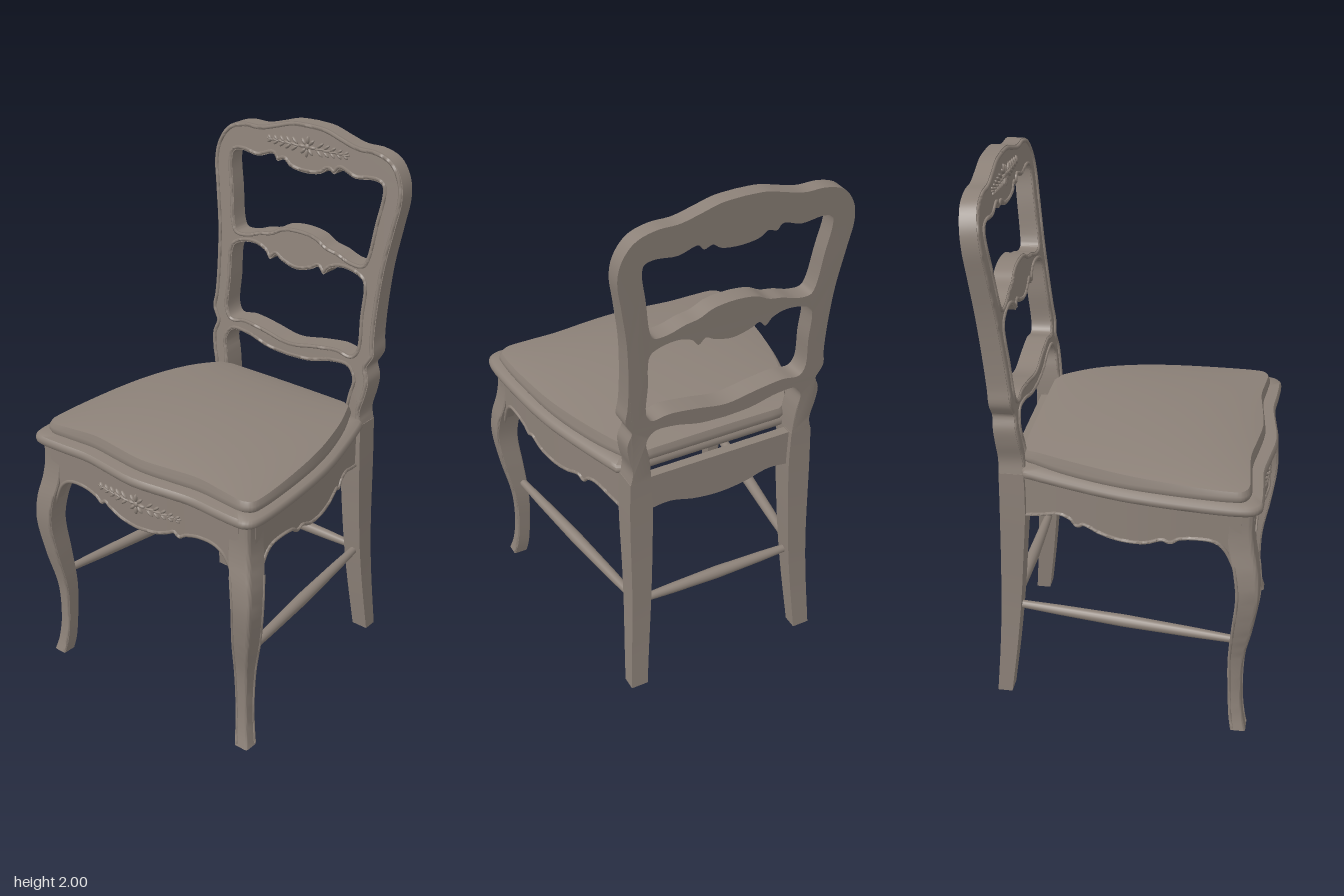
import * as THREE from 'three';
import { toCreasedNormals } from 'three/addons/utils/BufferGeometryUtils.js';

const V3 = (x, y, z) => new THREE.Vector3(x, y, z);
const lerp = THREE.MathUtils.lerp;

// Smooth function through [position, value] pairs (position ascending)
function smooth(t) {
  const slope = i => {
    const a = t[Math.max(i - 1, 0)], b = t[Math.min(i + 1, t.length - 1)];
    return (b[1] - a[1]) / (b[0] - a[0]);
  };
  return p => {
    let i = 0;
    while (i < t.length - 2 && p > t[i + 1][0]) i++;
    const h = t[i + 1][0] - t[i][0], s = Math.min(Math.max((p - t[i][0]) / h, 0), 1);
    const s2 = s * s, s3 = s2 * s;
    return (2 * s3 - 3 * s2 + 1) * t[i][1] + (s3 - 2 * s2 + s) * h * slope(i)
      + (3 * s2 - 2 * s3) * t[i + 1][1] + (s3 - s2) * h * slope(i + 1);
  };
}

// Dense [x, y] points along a curve through the given ones
const sample = (pts, n, closed = false) =>
  new THREE.CatmullRomCurve3(pts.map(p => V3(p[0], p[1], 0)), closed, 'centripetal')
    .getPoints(n).map(p => [p.x, p.y]).slice(0, closed ? -1 : undefined);

// Adds the mirrored half of a right-hand list
const mirror = pts => [...pts, ...pts.filter(p => p[0] > 0.001).reverse().map(p => [-p[0], p[1]])];

const toPoints = pts => pts.map(p => new THREE.Vector2(p[0], p[1]));

// Moves each vertex by a rule, then sets normals with sharp edges
function remap(geo, rule, crease = 0.6) {
  const p = geo.attributes.position;
  for (let i = 0; i < p.count; i++) p.setXYZ(i, ...rule(p.getX(i), p.getY(i), p.getZ(i)));
  return toCreasedNormals(geo, crease);
}

// Mirrors a non-indexed geometry in x and keeps its faces outward
function flipX(geo) {
  const g = geo.clone();
  for (const name of ['position', 'normal']) {
    const a = g.attributes[name], old = a.clone();
    for (let i = 0; i < a.count; i++) {
      const j = i % 3 === 0 ? i : i % 3 === 1 ? i + 1 : i - 1;
      a.setXYZ(i, -old.getX(j), old.getY(j), old.getZ(j));
    }
  }
  return g;
}

// Closed skin through rings of equal length, running upwards, capped at both ends
function loft(rings) {
  const n = rings[0].length, pos = rings.flat(2), idx = [];
  for (let r = 0; r < rings.length - 1; r++)
    for (let i = 0; i < n; i++) {
      const a = r * n + i, b = r * n + (i + 1) % n;
      idx.push(a, b, b + n, a, b + n, a + n);
    }
  [0, rings.length - 1].forEach((r, top) => {
    const c = pos.length / 3, ring = rings[r];
    pos.push(0, ring[0][1], 0.06);
    for (let i = 0; i < n; i++) {
      const a = r * n + i, b = r * n + (i + 1) % n;
      idx.push(c, ...(top ? [a, b] : [b, a]));
    }
  });
  const g = new THREE.BufferGeometry();
  g.setAttribute('position', new THREE.Float32BufferAttribute(pos, 3));
  g.setIndex(idx);
  return toCreasedNormals(g, 0.8);
}

// Seat plan [x, z], from the front centre round the side to the back, as a full loop
function plan(half) {
  const side = sample(half, 64), [bx, bz] = side[side.length - 1];
  const back = [];
  for (let i = 1; i <= 8; i++) back.push([bx * (1 - i / 8), bz - .022]);
  return mirror([...side, ...back]);
}
const planRing = (loop, s, height) => loop.map(([px, pz]) => {
  const x = px * s, z = 0.06 + (pz - 0.06) * s;
  return [x, height(x, z), z];
});

export function createModel() {
  const model = new THREE.Group();
  const wood = new THREE.MeshStandardMaterial({ color: 0x8c8178 });
  wood.name = 'greyed wood';
  const add = (name, geo) => {
    const m = new THREE.Mesh(geo, wood);
    m.name = name;
    model.add(m);
    return m;
  };
  const pair = (name, geo) => { add(name + 'Left', geo); add(name + 'Right', flipX(geo)); };
  const bead = (pts, r, closed = false) => toCreasedNormals(new THREE.TubeGeometry(
    new THREE.CatmullRomCurve3(pts, closed), pts.length * 2, r, 6, closed), 1.2);

  // Lean of the back posts: front and rear z for each height
  const zFront = smooth([[0, -.42], [.2, -.395], [.4, -.375], [.6, -.36], [.78, -.348], [.95, -.35], [1.18, -.376], [1.5, -.412], [2, -.47]]);
  const zBack = smooth([[0, -.475], [.2, -.46], [.4, -.45], [.78, -.44], [1, -.44], [1.18, -.452], [1.5, -.48], [2, -.525]]);

  // Back frame with shaped openings
  const outerHalf = sample([[0, 2], [.08, 1.995], [.15, 1.975], [.22, 1.957], [.3, 1.955], [.37, 1.93], [.413, 1.87], [.425, 1.8], [.41, 1.7],
    [.386, 1.55], [.376, 1.4], [.376, 1.28], [.382, 1.22], [.365, 1.185], [.357, 1.17], [.372, 1.12], [.366, 1.06], [.35, .99], [.36, .93]], 70);
  const archHalf = sample([[.28, .93], [.285, 1], [.292, 1.05], [.302, 1.11], [.275, 1.15], [.2, 1.15], [.1, 1.125], [0, 1.118]], 30);
  const topHole = sample(mirror([[0, 1.82], [.07, 1.83], [.1, 1.85], [.13, 1.84], [.15, 1.862], [.22, 1.842], [.3, 1.85], [.335, 1.84], [.342, 1.81],
    [.325, 1.7], [.305, 1.57], [.29, 1.545], [.24, 1.545], [.18, 1.565], [.13, 1.575], [.08, 1.6], [0, 1.61]]), 140, true);
  const midHole = sample(mirror([[0, 1.458], [.07, 1.475], [.1, 1.49], [.125, 1.468], [.15, 1.495], [.2, 1.512], [.27, 1.502], [.302, 1.48],
    [.305, 1.35], [.306, 1.23], [.285, 1.2], [.22, 1.207], [.12, 1.195], [0, 1.175]]), 120, true);
  const frame = new THREE.Shape(toPoints(mirror([...outerHalf, ...archHalf])));
  for (const hole of [topHole, midHole]) frame.holes.push(new THREE.Path(toPoints([...hole].reverse())));
  add('backFrame', remap(new THREE.ExtrudeGeometry(frame, { depth: 1, bevelEnabled: false }),
    (x, y, t) => [x, y, lerp(zBack(y), zFront(y), t)]));

  // Beading just inside the edges of the back frame
  const beadPath = (pts, d, closed) => pts.map((p, i) => {
    const n = pts.length;
    const a = closed ? pts[(i + n - 1) % n] : pts[Math.max(i - 1, 0)];
    const b = closed ? pts[(i + 1) % n] : pts[Math.min(i + 1, n - 1)];
    const dx = b[0] - a[0], dy = b[1] - a[1], l = Math.hypot(dx, dy);
    const y = p[1] - dx / l * d;
    return V3(p[0] + dy / l * d, y, zFront(y));
  });
  const outerLine = [...outerHalf.slice(1).reverse().map(p => [-p[0], p[1]]), ...outerHalf];
  const archLine = [...archHalf, ...archHalf.slice(0, -1).reverse().map(p => [-p[0], p[1]])];
  add('outerBead', bead(beadPath(outerLine, .01, false), .008));
  add('archBead', bead(beadPath(archLine, .008, false), .007));
  add('topOpeningBead', bead(beadPath(topHole, -.009, true), .007, true));
  add('middleOpeningBead', bead(beadPath(midHole, -.009, true), .007, true));

  // Back legs, swept to the rear
  const legIn = smooth([[0, .32], [.4, .29], [.78, .276], [.94, .28]]);
  const legOut = smooth([[0, .386], [.4, .366], [.78, .364], [.94, .36]]);
  pair('backLeg', remap(new THREE.BoxGeometry(1, .94, 1, 1, 24, 1), (x, y, z) => {
    const h = y + .47;
    return [lerp(legIn(h), legOut(h), x + .5), h, lerp(zBack(h), zFront(h), z + .5)];
  }));

  // Curved front legs, beaded along the inner edges
  const outer = smooth([[0, .488], [.05, .476], [.15, .466], [.3, .47], [.45, .498], [.6, .518], [.7, .512], [.78, .495], [.85, .486], [.935, .485]]);
  const inner = smooth([[0, .433], [.05, .424], [.15, .417], [.3, .413], [.45, .423], [.6, .435], [.7, .424], [.78, .405], [.85, .4], [.935, .4]]);
  const section = new THREE.Shape().moveTo(-.9, -1).lineTo(.6, -1).quadraticCurveTo(1, -1, 1, -.6)
    .lineTo(1, .9).lineTo(.9, 1).lineTo(-.9, 1).lineTo(-1, .9).lineTo(-1, -.9).closePath();
  pair('frontLeg', remap(new THREE.ExtrudeGeometry(section, { depth: .935, steps: 36, bevelEnabled: false, curveSegments: 6 }), (a, b, h) => {
    const c = (outer(h) + inner(h)) / 2, r = (outer(h) - inner(h)) / 2;
    return [c + a * r, h, c - .011 - b * r];
  }, 0.7));
  const heights = Array.from({ length: 25 }, (_, i) => .006 + i * .03);
  pair('legFrontBead', bead(heights.map(h => V3(inner(h) + .007, h, outer(h) - .013)), .006));
  pair('legSideBead', bead(heights.map(h => V3(outer(h) - .002, h, inner(h) - .004)), .006));

  // Aprons: a scalloped panel hanging from y = 0.935, bent by a rule
  const panel = (points, rule) => {
    const low = smooth(points), u0 = points[0][0], u1 = points[points.length - 1][0];
    const geo = remap(new THREE.BoxGeometry(1, 1, .035, 96, 4, 1), (x, y, z) => {
      const u = lerp(u0, u1, x + .5);
      return rule(u, lerp(low(u), .935, y + .5), z + .0175);
    });
    const edge = Array.from({ length: 81 }, (_, i) => lerp(u0, u1, i / 80));
    return { geo, edge: w => bead(edge.map(u => V3(...rule(u, low(u) + .006, w))), .007) };
  };
  const frontZ = smooth([[0, .496], [.12, .487], [.25, .474], [.36, .475], [.48, .474]]);
  const frontHalf = [[0, .752], [.08, .758], [.14, .778], [.165, .79], [.185, .775], [.21, .79], [.28, .805], [.35, .8], [.395, .765], [.425, .7], [.445, .64]];
  const frontPanel = panel([...frontHalf.slice(1).reverse().map(p => [-p[0], p[1]]), ...frontHalf],
    (u, y, w) => [u, y, frontZ(Math.abs(u)) - .035 + w]);
  add('frontApron', frontPanel.geo);
  add('frontApronBead', frontPanel.edge(.035));

  const sideX = smooth([[-.36, .34], [-.2, .393], [0, .446], [.2, .476], [.45, .487]]);
  const sidePanel = panel([[-.36, .758], [-.29, .78], [-.22, .803], [-.175, .795], [-.15, .772], [-.125, .785], [-.06, .765], [.02, .755],
    [.1, .762], [.16, .785], [.19, .778], [.22, .797], [.29, .806], [.35, .798], [.385, .765], [.415, .7], [.435, .64]],
    (u, y, w) => [sideX(u) - .035 + w, y, u]);
  // The side rule reverses handedness, so the right-hand panel is the one whose corners need no turning
  const sideRight = panel([[-.435, .64], [-.415, .7], [-.385, .765], [-.35, .798], [-.29, .806], [-.22, .797], [-.19, .778], [-.16, .785],
    [-.1, .762], [-.02, .755], [.06, .765], [.125, .785], [.15, .772], [.175, .795], [.22, .803], [.29, .78], [.36, .758]],
    (u, y, w) => [sideX(-u) - .035 + w, y, -u]);
  pair('sideApron', sideRight.geo);
  pair('sideApronBead', sidePanel.edge(.035));
  add('backApron', panel([[-.3, .79], [-.2, .8], [-.1, .775], [0, .765], [.1, .775], [.2, .8], [.3, .79]],
    (u, y, w) => [u, y, -.42 + w]).geo);

  // Corner blocks under the seat
  for (const s of [-1, 1]) {
    const block = add('cornerBlock', new THREE.BoxGeometry(.16, .12, .03));
    block.position.set(s * .385, .86, .385);
    block.rotation.y = s * Math.PI / 4;
  }

  // Seat rim and domed cushion
  const rim = plan([[0, .525], [.05, .522], [.13, .511], [.25, .497], [.36, .503], [.45, .506], [.485, .502], [.508, .483], [.519, .44],
    [.505, .2], [.475, 0], [.42, -.2], [.372, -.348]]);
  add('seatRim', loft([[.93, .93], [.982, .93], [.996, .937], [1, .947], [.996, .957], [.982, .965], [.9, .968]]
    .map(([s, y]) => planRing(rim, s, () => y))));
  const cushion = plan([[0, .475], [.05, .472], [.13, .463], [.25, .45], [.37, .458], [.45, .46], [.48, .44], [.487, .4], [.475, .2], [.445, 0],
    [.385, -.2], [.315, -.35]]);
  const dome = (x, z) => 1 + .056 * Math.max(0, (1 - (x / .5) ** 2) * (1 - ((z - .06) / .44) ** 2)) ** .7;
  add('cushion', loft([
    ...[[.96, .962], [.988, .966], [1, .978], [.996, .99]].map(([s, y]) => planRing(cushion, s, () => y)),
    ...[.98, .95, .9, .84, .77, .7, .6, .5, .4, .3, .2, .1, .02].map(s => planRing(cushion, s, dome)),
  ]));

  // Stretchers, thicker in the middle
  const stretcher = (a, b) => {
    const l = a.distanceTo(b);
    const prof = [[.014, 0], [.019, .2], [.023, .5], [.019, .8], [.014, 1]].map(([r, t]) => new THREE.Vector2(r, (t - .5) * l));
    const m = add('stretcher', new THREE.LatheGeometry(prof, 16));
    m.position.copy(a).lerp(b, .5);
    m.quaternion.setFromUnitVectors(V3(0, 1, 0), b.clone().sub(a).normalize());
  };
  for (const s of [-1, 1]) stretcher(V3(s * .435, .37, .43), V3(s * .33, .37, -.4));
  stretcher(V3(-.31, .37, -.41), V3(.31, .37, -.41));

  // Carved flower and leaf sprays
  const carving = (name, cy, span, zAt) => {
    const group = new THREE.Group();
    group.name = name;
    const leaf = (x, y, angle, len, wid) => {
      const m = new THREE.Mesh(new THREE.SphereGeometry(1, 10, 6), wood);
      m.name = 'leaf';
      m.scale.set(len, wid, .009);
      m.position.set(x, cy + y, zAt(x, cy + y));
      m.rotation.z = angle;
      group.add(m);
    };
    leaf(0, 0, 0, .012, .012);
    for (let i = 0; i < 8; i++) {
      const a = i * Math.PI / 4;
      leaf(Math.cos(a) * .024, Math.sin(a) * .024, a, .016, .007);
    }
    for (const s of [-1, 1])
      for (let i = 0; i < 5; i++) {
        const x = s * span * (.3 + i * .15), l = .026 - i * .002;
        leaf(x, 0, s * .15, l, .005);
        leaf(x, .014 - i * .002, s * .7, l * .7, .006);
        leaf(x, -.014 + i * .002, -s * .7, l * .7, .006);
      }
    model.add(group);
  };
  carving('crestCarving', 1.915, .19, (x, y) => zFront(y));
  carving('apronCarving', .85, .2, x => frontZ(Math.abs(x)));

  return model;
}
